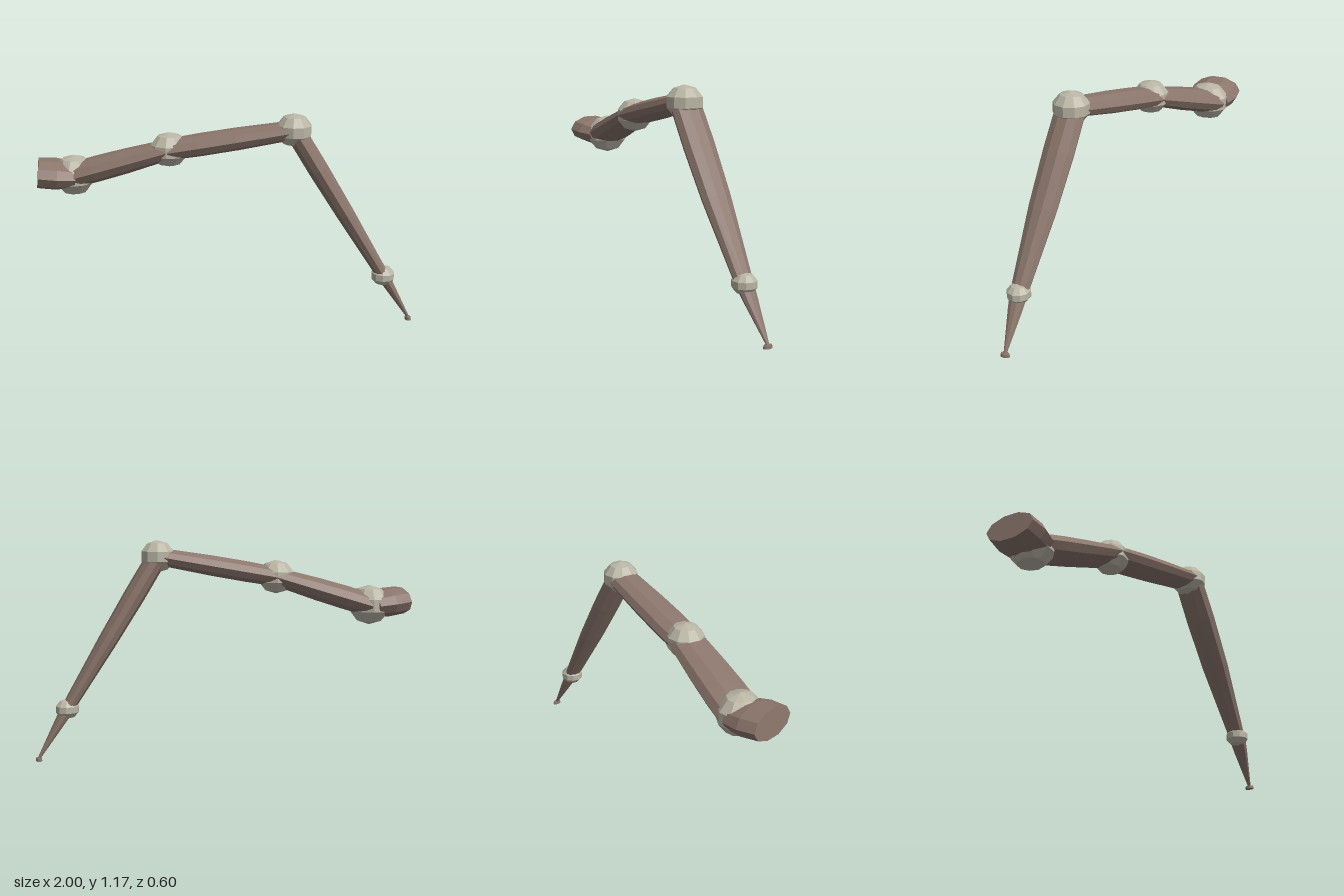
import * as THREE from 'three';

const SIDES = 10;

// Closed limb with flattened oval rings. Each ring: [t along limb, half width, half thickness]
function limbGeometry(a, b, rings) {
  const start = new THREE.Vector3(...a), end = new THREE.Vector3(...b);
  const dir = end.clone().sub(start).normalize();
  const side = new THREE.Vector3().crossVectors(dir, new THREE.Vector3(0, 1, 0)).normalize();
  const up = new THREE.Vector3().crossVectors(side, dir);
  const pos = [], idx = [];
  for (const [t, w, h] of rings) {
    const c = start.clone().lerp(end, t);
    for (let i = 0; i < SIDES; i++) {
      const ang = (i / SIDES) * Math.PI * 2;
      const p = c.clone().addScaledVector(side, Math.cos(ang) * w).addScaledVector(up, Math.sin(ang) * h);
      pos.push(p.x, p.y, p.z);
    }
  }
  const last = (rings.length - 1) * SIDES;
  for (let r = 0; r < last; r += SIDES) {
    for (let i = 0; i < SIDES; i++) {
      const j = (i + 1) % SIDES;
      idx.push(r + i, r + SIDES + j, r + SIDES + i, r + i, r + j, r + SIDES + j);
    }
  }
  // End caps
  for (let i = 1; i < SIDES - 1; i++) {
    idx.push(0, i + 1, i, last, last + i, last + i + 1);
  }
  // Keep every face pointing away from the axis
  const va = new THREE.Vector3(), vb = new THREE.Vector3(), vc = new THREE.Vector3();
  const mid = start.clone().add(end).multiplyScalar(0.5);
  for (let k = 0; k < idx.length; k += 3) {
    va.fromArray(pos, idx[k] * 3); vb.fromArray(pos, idx[k + 1] * 3); vc.fromArray(pos, idx[k + 2] * 3);
    const n = vb.clone().sub(va).cross(vc.clone().sub(va));
    const out = va.clone().add(vb).add(vc).divideScalar(3).sub(mid);
    if (n.dot(out) < 0) [idx[k + 1], idx[k + 2]] = [idx[k + 2], idx[k + 1]];
  }
  const g = new THREE.BufferGeometry();
  g.setAttribute('position', new THREE.Float32BufferAttribute(pos, 3));
  g.setIndex(idx);
  const flat = g.toNonIndexed();
  flat.computeVertexNormals();
  return flat;
}

export function createModel() {
  const shell = new THREE.MeshStandardMaterial({ color: 0x8b766c, flatShading: true });
  shell.name = 'brownShell';
  const joint = new THREE.MeshStandardMaterial({ color: 0xb9b5a5, flatShading: true });
  joint.name = 'paleJoint';

  const leg = new THREE.Group();
  leg.name = 'jointedLeg';
  const add = (name, geometry, material) => {
    const m = new THREE.Mesh(geometry, material);
    m.name = name;
    leg.add(m);
    return m;
  };

  // Joint centres from body to foot
  const root = [-0.992, 0.836, -0.155];
  const hip = [-0.8, 0.816, -0.155];
  const upper = [-0.306, 0.973, 0.01];
  const knee = [0.323, 1.088, 0.178];
  const ankle = [0.823, 0.273, 0.235];
  const tip = [0.983, 0.014, 0.235];

  // Limb segments, each swelling slightly in the middle
  const limbs = [
    ['hipSegment', root, hip, [[0, 0.136, 0.077], [0.5, 0.148, 0.08], [1, 0.13, 0.066]]],
    ['upperLimb', hip, upper, [[0, 0.122, 0.066], [0.25, 0.122, 0.067], [0.55, 0.115, 0.064], [1, 0.1, 0.052]]],
    ['middleLimb', upper, knee, [[0, 0.1, 0.054], [0.25, 0.102, 0.058], [0.55, 0.098, 0.057], [1, 0.086, 0.048]]],
    ['shin', knee, ankle, [[0, 0.088, 0.055], [0.25, 0.09, 0.056], [0.55, 0.082, 0.05], [1, 0.049, 0.034]]],
    ['footSpike', ankle, tip, [[0, 0.05, 0.034], [0.3, 0.04, 0.026], [1, 0.008, 0.007]]],
  ];
  for (const [name, a, b, rings] of limbs) add(name, limbGeometry(a, b, rings), shell);

  // Faceted ball joints
  const balls = [
    ['hipJoint', hip, [0.11, 0.11, 0.125]],
    ['upperJoint', upper, [0.104, 0.092, 0.103]],
    ['kneeJoint', knee, [0.096, 0.087, 0.101]],
    ['ankleJoint', ankle, [0.066, 0.054, 0.065]],
  ];
  for (const [name, p, s] of balls) {
    const m = add(name, new THREE.SphereGeometry(1, SIDES, 5), joint);
    m.position.set(...p);
    m.scale.set(...s);
  }

  // Small foot pad at the tip
  const pad = add('footPad', new THREE.CylinderGeometry(0.015, 0.017, 0.016, SIDES), shell);
  pad.position.set(0.983, 0.008, 0.235);
  pad.scale.z = 1.55;
  return leg;
}
